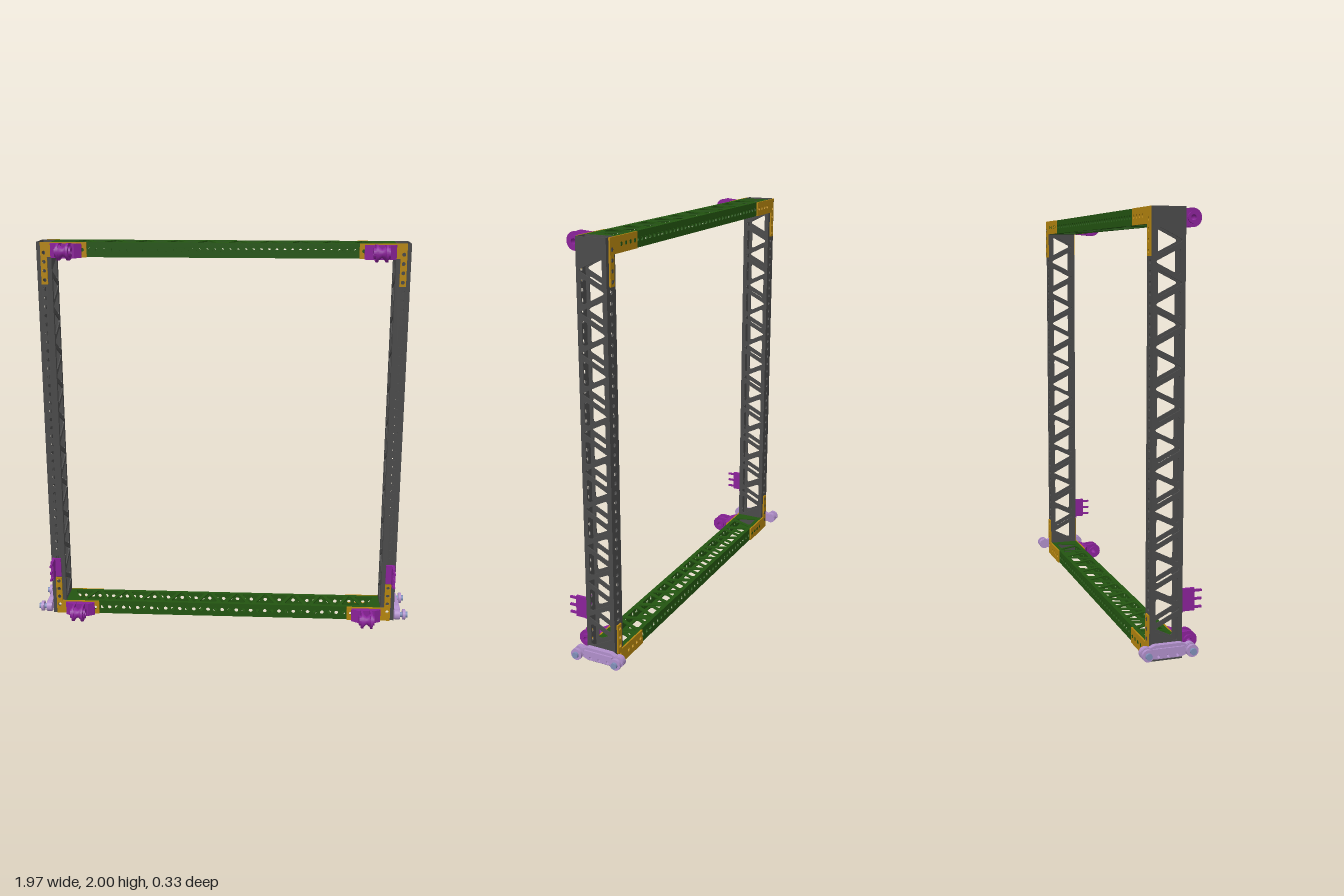
import * as THREE from 'three';

const mat = (color) => new THREE.MeshStandardMaterial({ color });
const MID_Y = 1.0065, MID_Z = -0.029; // centre of the frame
const DEPTH = 0.148, TUBE = 0.073, WALL = 0.006;
const POST_X = 0.881, POST_LEN = 1.987, BEAM_LEN = 1.692;
const BEAM_Y = MID_Y - (POST_LEN - TUBE) / 2;
const POST_PITCH = 0.0897, BEAM_PITCH = 0.0765;

function add(parent, name, geometry, material, x = 0, y = 0, z = 0) {
  const m = new THREE.Mesh(geometry, material);
  m.name = name;
  m.position.set(x, y, z);
  parent.add(m);
  return m;
}

function polygon(points) {
  return new THREE.Shape(points.map(([x, y]) => new THREE.Vector2(x, y)));
}

function circleHole(x, y, r) {
  return new THREE.Path().absarc(x, y, r, 0, Math.PI * 2, true);
}

// Flat panel centred on its thickness
function panel(shape, thickness, curveSegments = 6) {
  const g = new THREE.ExtrudeGeometry(shape, { depth: thickness, bevelEnabled: false, curveSegments });
  return g.translate(0, 0, -thickness / 2);
}

function rectangle(w, h) {
  return polygon([[-w / 2, -h / 2], [w / 2, -h / 2], [w / 2, h / 2], [-w / 2, h / 2]]);
}

// Rounded triangular cut-out; side = +1 puts the flat edge at +v
function triangleHole(u, half, side) {
  const c = [[u - half, 0.052 * side], [u + half, 0.052 * side], [u, -0.066 * side]]
    .map(([x, y]) => new THREE.Vector2(x, y));
  const path = new THREE.Path();
  c.forEach((p, i) => {
    const from = p.clone().lerp(c[(i + 2) % 3], 0.14);
    const to = p.clone().lerp(c[(i + 1) % 3], 0.14);
    if (i === 0) path.moveTo(from.x, from.y); else path.lineTo(from.x, from.y);
    path.quadraticCurveTo(p.x, p.y, to.x, to.y);
  });
  path.closePath();
  return path;
}

// Hollow tube along x: truss walls on +-y, drilled walls on +-z
function trussTube(name, length, count, pitch, firstSide, material) {
  const tube = new THREE.Group();
  tube.name = name;
  const truss = rectangle(length, DEPTH);
  for (let i = 0; i < count; i++) {
    const side = i % 2 ? -firstSide : firstSide;
    truss.holes.push(triangleHole((i - (count - 1) / 2) * pitch, pitch * 0.66, side));
  }
  const drilled = rectangle(length, TUBE);
  const n = Math.floor((length / 2 - 0.02) / (pitch / 2));
  for (let k = -n; k <= n; k++) drilled.holes.push(circleHole(k * pitch / 2, 0, 0.0105));
  const trussGeo = panel(truss, WALL).rotateX(Math.PI / 2);
  const drilledGeo = panel(drilled, WALL);
  for (const s of [-1, 1]) {
    add(tube, 'trussWall', trussGeo, material, 0, s * (TUBE - WALL) / 2, 0);
    add(tube, 'drilledWall', drilledGeo, material, 0, 0, s * (DEPTH - WALL) / 2);
  }
  return tube;
}

// L-shaped corner plate, in frame coordinates relative to MID_Y
function gussetGeometry(sx, sy) {
  const top = POST_LEN / 2;
  const shape = polygon([[0.667, top], [0.897, top], [0.897, top - 0.207], [0.865, top - 0.207],
    [0.865, top - TUBE], [0.667, top - TUBE]].map(([x, y]) => [x * sx, y * sy]));
  for (let k = 18; k <= 21; k++) {
    shape.holes.push(circleHole(sx * k * BEAM_PITCH / 2, sy * (top - TUBE / 2), 0.0095));
  }
  for (let k = 18; k <= 21; k++) {
    shape.holes.push(circleHole(sx * POST_X, sy * k * POST_PITCH / 2, 0.0095));
  }
  return panel(shape, 0.008);
}

// Cable pulley: base plate, two cheeks, grooved hollow wheel
function pulley(material) {
  const g = new THREE.Group();
  g.name = 'pulley';
  const foot = polygon([[-0.077, 0], [0.077, 0], [0.077, 0.01], [0.045, 0.028], [-0.045, 0.028], [-0.077, 0.01]]);
  add(g, 'pulleyBase', panel(foot, 0.07).rotateX(Math.PI / 2), material, 0, 0, 0.053);
  const cheek = new THREE.Shape();
  cheek.moveTo(0.056, -0.036);
  cheek.lineTo(0.124, -0.042);
  cheek.absarc(0.124, 0, 0.042, -Math.PI / 2, Math.PI / 2, false);
  cheek.lineTo(0.056, 0.036);
  cheek.holes.push(circleHole(0.124, 0, 0.013));
  const cheekGeo = panel(cheek, 0.011, 12).rotateY(-Math.PI / 2);
  const hubShape = new THREE.Shape().absarc(0, 0, 0.026, 0, Math.PI * 2, false);
  hubShape.holes.push(circleHole(0, 0, 0.013));
  const hubGeo = panel(hubShape, 0.012, 10).rotateY(Math.PI / 2);
  for (const s of [-1, 1]) {
    add(g, 'pulleyCheek', cheekGeo, material, s * 0.024, 0, 0);
    add(g, 'pulleyHub', hubGeo, material, s * 0.034, 0, 0.124);
  }
  const profile = [[0.013, -0.019], [0.036, -0.019], [0.02, 0], [0.036, 0.019], [0.013, 0.019], [0.013, -0.019]]
    .map(([r, y]) => new THREE.Vector2(r, y));
  add(g, 'pulleyWheel', new THREE.LatheGeometry(profile, 24).rotateZ(Math.PI / 2), material, 0, 0, 0.124);
  return g;
}

// Side link with a bolt stack at each end
function sideLink(s, body, steel) {
  const g = new THREE.Group();
  g.name = 'sideLink';
  const a = 0.104, r = 0.028, t = 0.9;
  const shape = new THREE.Shape();
  shape.absarc(a, 0, r, -Math.PI + t, Math.PI - t, false);
  shape.lineTo(0.062, 0.032);
  shape.lineTo(-0.062, 0.032);
  shape.absarc(-a, 0, r, t, Math.PI * 2 - t, false);
  shape.lineTo(-0.062, -0.032);
  shape.lineTo(0.062, -0.032);
  for (const x of [-0.045, 0, 0.045]) shape.holes.push(circleHole(x, -0.021, 0.007));
  add(g, 'linkPlate', panel(shape, 0.024, 12).rotateY(-Math.PI / 2), body, s * 0.93);
  add(g, 'linkRib', new THREE.BoxGeometry(0.012, 0.02, 0.15), body, s * 0.944, 0.008);
  const disc = (rad, len) => new THREE.CylinderGeometry(rad, rad, len, 20).rotateZ(Math.PI / 2);
  for (const e of [-1, 1]) {
    add(g, 'linkSleeve', disc(0.026, 0.03), body, s * 0.93, 0, e * a);
    add(g, 'linkShaft', disc(0.013, 0.06), steel, s * 0.95, 0, e * a);
    add(g, 'linkFlange', disc(0.028, 0.014), body, s * 0.966, 0, e * a);
    add(g, 'boltHead', disc(0.015, 0.012), steel, s * 0.98, 0, e * a);
  }
  g.position.set(0, 0.063, MID_Z);
  return g;
}

// Upright fin with three prongs
function prongBlock(s, material) {
  const g = new THREE.Group();
  g.name = 'prongBlock';
  add(g, 'prongBase', new THREE.BoxGeometry(0.047, 0.104, 0.01), material, s * 0.889, 0, 0.05);
  add(g, 'prongFin', new THREE.BoxGeometry(0.014, 0.104, 0.06), material, s * 0.902, 0, 0.077);
  for (const y of [-0.038, 0, 0.038]) {
    add(g, 'prong', new THREE.BoxGeometry(0.01, 0.01, 0.05), material, s * 0.902, y, 0.117);
  }
  g.position.y = 0.278;
  return g;
}

export function createModel() {
  const model = new THREE.Group();
  model.name = 'frame';
  const grey = mat(0x4a4a4a), green = mat(0x235511), gold = mat(0xb5850f);
  const purple = mat(0x8a2299), lilac = mat(0xb08fca), steel = mat(0x7f8fb8);

  for (const s of [-1, 1]) {
    // Uprights and cross beams
    const post = trussTube('post', POST_LEN, 20, POST_PITCH, 1, grey);
    post.rotation.z = Math.PI / 2;
    post.position.set(s * POST_X, MID_Y, MID_Z);
    const beam = trussTube('beam', BEAM_LEN, 21, BEAM_PITCH, -1, green);
    beam.position.set(0, s > 0 ? 2 * MID_Y - BEAM_Y : BEAM_Y, MID_Z);
    model.add(post, beam);

    // Corner plates and pulleys
    for (const v of [-1, 1]) {
      const plate = gussetGeometry(s, v);
      for (const f of [-1, 1]) {
        add(model, 'cornerPlate', plate, gold, 0, MID_Y, MID_Z + f * (DEPTH / 2 + 0.004));
      }
      const p = pulley(purple);
      p.position.set(s * 0.768, v > 0 ? 2 * MID_Y - BEAM_Y - 0.004 : BEAM_Y - 0.004, 0);
      model.add(p);
    }
    model.add(sideLink(s, lilac, steel), prongBlock(s, purple));
  }
  return model;
}
